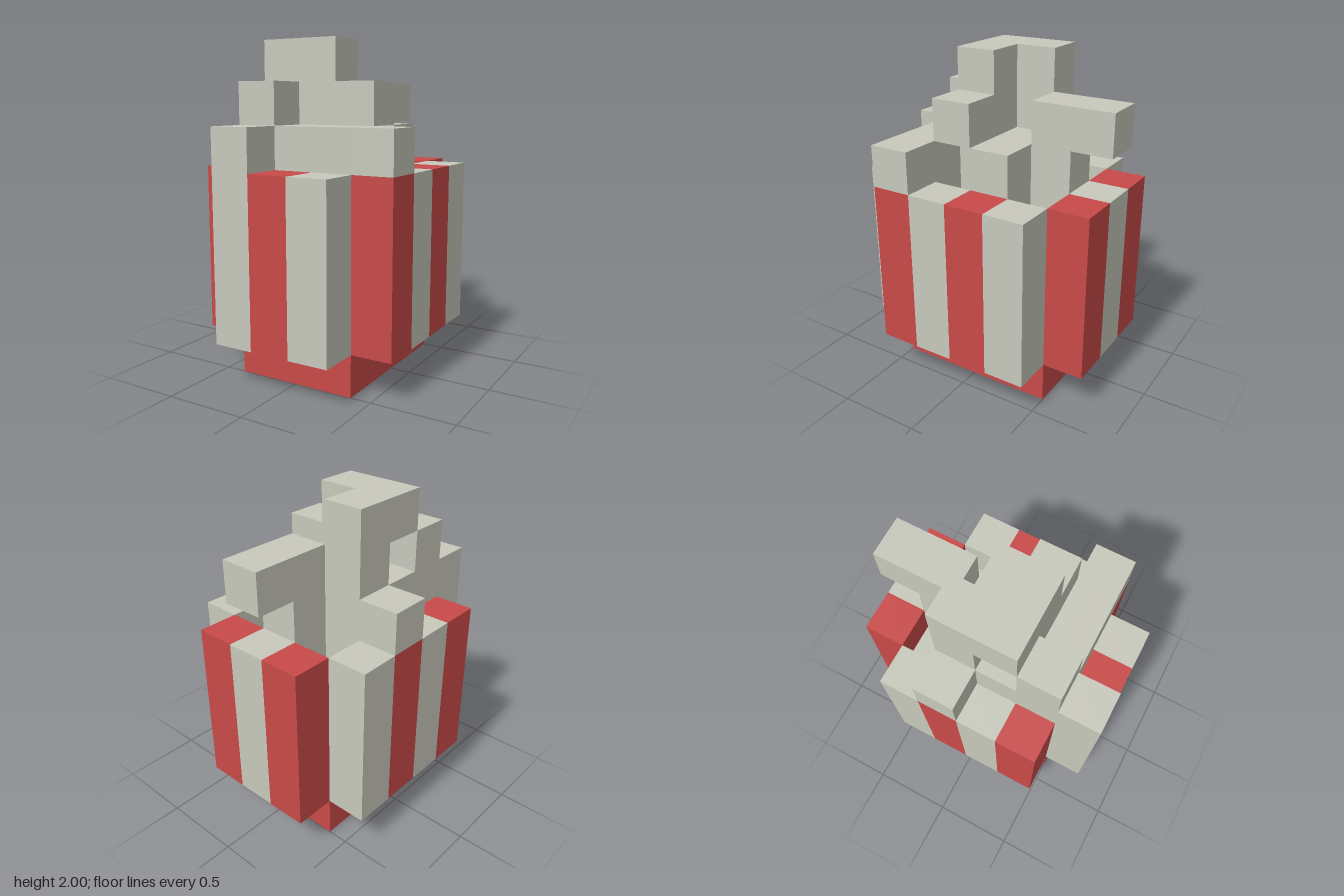
import * as THREE from 'three';

const U = 0.25; // one block

export function createModel() {
  const model = new THREE.Group();
  const red = new THREE.MeshStandardMaterial({ color: 0xc84a49 });
  red.name = 'red';
  const cream = new THREE.MeshStandardMaterial({ color: 0xc8c9bc });
  cream.name = 'cream';

  // Box spanning block cells: x 0..5 (right to left), y 0..8 (up), z 0..6 (back to front)
  function block(parent, name, material, x0, x1, y0, y1, z0, z1) {
    const geometry = new THREE.BoxGeometry((x1 - x0) * U, (y1 - y0) * U, (z1 - z0) * U);
    const mesh = new THREE.Mesh(geometry, material);
    mesh.position.set(((x0 + x1) / 2 - 2.5) * U, ((y0 + y1) / 2) * U, ((z0 + z1) / 2 - 3) * U);
    mesh.name = name;
    parent.add(mesh);
  }

  // Base: red frame around a cream core
  const base = new THREE.Group();
  base.name = 'base';
  block(base, 'baseBack', red, 1, 4, 0, 1, 1, 2);
  block(base, 'baseFront', red, 1, 4, 0, 1, 4, 5);
  block(base, 'baseRight', red, 1, 2, 0, 1, 2, 4);
  block(base, 'baseLeft', red, 3, 4, 0, 1, 2, 4);
  block(base, 'baseCore', cream, 2, 3, 0, 1, 2, 4);
  model.add(base);

  // Striped bucket: alternating columns around the rim
  const bucket = new THREE.Group();
  bucket.name = 'bucket';
  const ring = [
    [0, 4], [1, 5], [2, 5], [3, 5], [4, 4], [4, 3], [4, 2],
    [4, 1], [3, 0], [2, 0], [1, 0], [0, 1], [0, 2], [0, 3],
  ];
  ring.forEach(([x, z], i) => {
    const isRed = i % 2 === 0;
    block(bucket, isRed ? 'redStripe' : 'creamStripe', isRed ? red : cream, x, x + 1, 1, 5, z, z + 1);
  });
  model.add(bucket);

  // Filling inside the bucket and the heap of kernels above it
  const heap = new THREE.Group();
  heap.name = 'heap';
  block(heap, 'filling', cream, 1, 4, 1, 4, 1, 5);
  const kernels = [
    // lower layer
    [1, 4, 4, 6, 4, 5], [4, 5, 5, 6, 4, 5], [1, 2, 5, 6, 5, 6],
    [1, 3, 4, 6, 3, 4], [1, 4, 4, 6, 2, 3], [0, 1, 5, 6, 2, 3], [2, 3, 4, 6, 1, 2],
    // middle layer, with the arm reaching out at the back
    [1, 2, 6, 7, 4, 5], [2, 4, 6, 7, 3, 4], [1, 2, 6, 7, 2, 3], [2, 3, 6, 7, 0, 2],
    // top layer
    [1, 3, 7, 8, 3, 4], [1, 2, 7, 8, 2, 3],
  ];
  for (const k of kernels) block(heap, 'kernel', cream, ...k);
  model.add(heap);

  return model;
}
